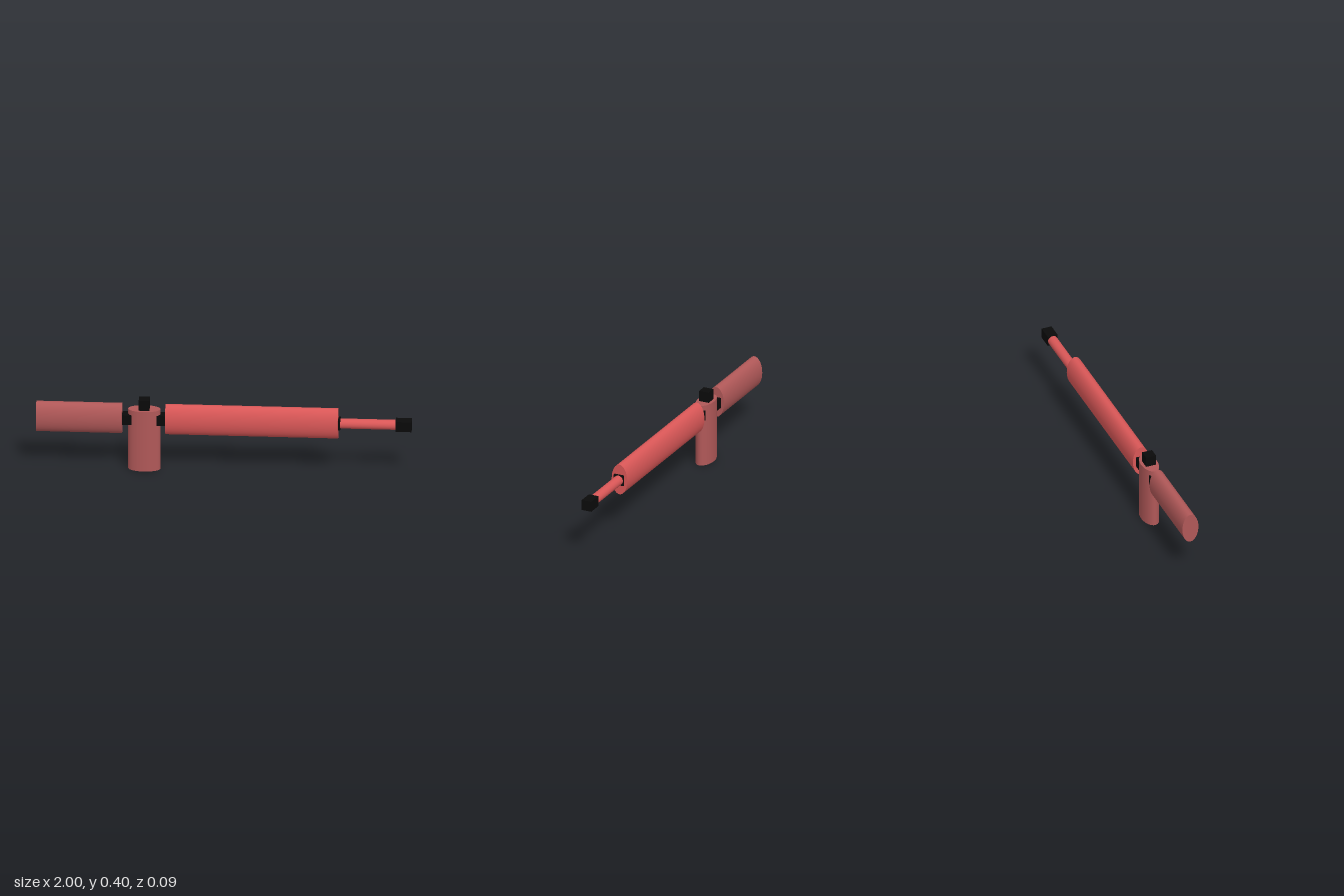
import * as THREE from 'three';

export function createModel() {
  const model = new THREE.Group();
  const bright = new THREE.MeshStandardMaterial({ color: 0xd95757 });
  const muted = new THREE.MeshStandardMaterial({ color: 0xb05858 });
  const black = new THREE.MeshStandardMaterial({ color: 0x0a0a0a });
  const axisY = 0.289; // height of the long axis
  const gripX = -0.425;

  function add(name, geometry, material, x, y) {
    const mesh = new THREE.Mesh(geometry, material);
    mesh.name = name;
    mesh.position.set(x, y, 0);
    model.add(mesh);
  }

  // Oval tube lying along x, from x0 to x1
  function tube(name, x0, x1, ry, rz, material) {
    const g = new THREE.CylinderGeometry(1, 1, x1 - x0, 32);
    g.rotateZ(Math.PI / 2).scale(1, ry, rz);
    add(name, g, material, (x0 + x1) / 2, axisY);
  }

  // Square block along the axis, from x0 to x1
  function block(name, x0, x1) {
    add(name, new THREE.BoxGeometry(x1 - x0, 0.057, 0.057), black, (x0 + x1) / 2, axisY);
  }

  // Long body, rear stock and thin front rod
  tube('stock', -1, -0.543, 0.086, 0.046, muted);
  tube('barrel', -0.312, 0.608, 0.086, 0.046, bright);
  tube('frontRod', 0.6, 0.93, 0.027, 0.027, bright);

  // Upright oval grip
  const grip = new THREE.CylinderGeometry(1, 1, 0.346, 32);
  grip.scale(0.086, 1, 0.046);
  add('grip', grip, muted, gripX, 0.173);

  // Black connectors, tip and top block
  block('rearConnector', -0.55, -0.492);
  block('middleConnector', -0.36, -0.302);
  block('rodCollar', 0.563, 0.62);
  block('tip', 0.914, 1);
  add('topBlock', new THREE.BoxGeometry(0.057, 0.06, 0.057), black, gripX, 0.374);

  return model;
}
